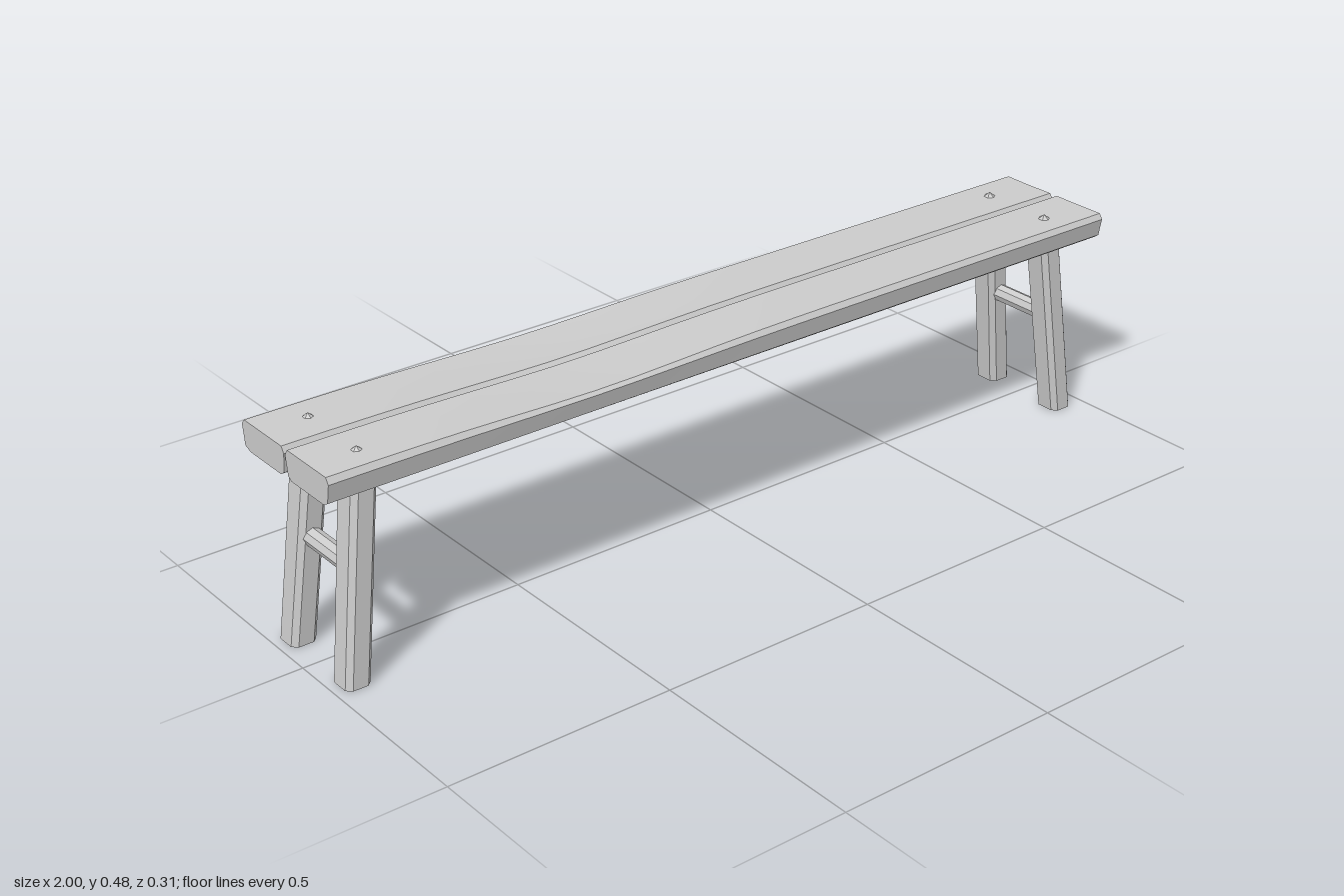
import * as THREE from 'three';
import { toCreasedNormals } from 'three/addons/utils/BufferGeometryUtils.js';

const material = new THREE.MeshStandardMaterial({ color: 0xcccccc });

// Skin a row of equal-length rings of [x, y, z] points and cap both ends.
function loft(rings) {
  const n = rings[0].length, index = [], last = (rings.length - 1) * n;
  for (let s = 0; s < rings.length - 1; s++) {
    for (let i = 0; i < n; i++) {
      const a = s * n + i, b = s * n + (i + 1) % n, c = b + n, d = a + n;
      index.push(a, d, c, a, c, b);
    }
  }
  for (let i = 1; i < n - 1; i++) {
    index.push(0, i, i + 1, last, last + i + 1, last + i);
  }
  const g = new THREE.BufferGeometry();
  g.setAttribute('position', new THREE.Float32BufferAttribute(rings.flat(2), 3));
  g.setIndex(index);
  return toCreasedNormals(g, 0.45);
}

function add(parent, name, geometry) {
  const mesh = new THREE.Mesh(geometry, material);
  mesh.name = name;
  parent.add(mesh);
  return mesh;
}

// Chamfered plank section as [z, y]; the last value is how far wear lowers the point.
const frontProfile = [
  [0.018, 0.412, 0], [0.132, 0.412, 0], [0.143, 0.42, 0], [0.151, 0.461, 0.4],
  [0.143, 0.474, 0.9], [0.075, 0.474, 1], [0.01, 0.474, 0.7], [0.001, 0.461, 0.3], [0.007, 0.419, 0],
];
const backProfile = [
  [-0.132, 0.412, 0], [-0.02, 0.412, 0], [-0.009, 0.419, 0], [-0.003, 0.461, 0.3],
  [-0.011, 0.474, 0.7], [-0.08, 0.474, 1], [-0.145, 0.474, 0.6], [-0.154, 0.463, 0.2], [-0.148, 0.419, 0],
];

function plank(profile) {
  const rings = [];
  for (let s = 0; s <= 20; s++) {
    const x = -1 + s * 0.1;
    // hollow worn into the seat left of the middle, levelling out to the right
    const wear = 0.012 * Math.exp(-(((x + 0.38) / 0.27) ** 2)) + 0.002 * THREE.MathUtils.smoothstep(x, -0.8, 0);
    const wide = 0.003 * THREE.MathUtils.smoothstep(-x, -0.4, 1);
    rings.push(profile.map(([z, y, w]) =>
      [x, y - wear * w, z + (Math.abs(z) > 0.14 ? Math.sign(z) * wide : 0)]));
  }
  return loft(rings);
}

// Rectangular ring with chamfered corners lying in a level plane.
function legRing(cx, y, cz, hx, hz, c) {
  return [
    [hx, -hz + c], [hx, hz - c], [hx - c, hz], [-hx + c, hz],
    [-hx, hz - c], [-hx, -hz + c], [-hx + c, -hz], [hx - c, -hz],
  ].map(([x, z]) => [cx + x, y, cz + z]);
}

export function createModel() {
  const bench = new THREE.Group();
  bench.name = 'bench';

  add(bench, 'frontPlank', plank(frontProfile));
  add(bench, 'backPlank', plank(backProfile));

  // Splayed legs, their pegs and the rung at each end
  for (const [side, footX, topX] of [['right', -0.951, -0.899], ['left', 0.937, 0.881]]) {
    const frame = new THREE.Group();
    frame.name = side + 'LegFrame';
    bench.add(frame);

    for (const [end, sz] of [['Front', 1], ['Back', -1]]) {
      add(frame, side + end + 'Leg', loft([
        legRing(footX, 0, sz * 0.1, 0.028, 0.031, 0.011),
        legRing(topX, 0.43, sz * 0.084, 0.028, 0.033, 0.011),
      ]));
      // small pointed peg head showing through the seat
      const peg = add(frame, side + end + 'Peg',
        toCreasedNormals(new THREE.ConeGeometry(0.013, 0.01, 6), 0.1));
      peg.position.set(topX, 0.477, sz * 0.086);
    }

    const rung = add(frame, side + 'Rung',
      toCreasedNormals(new THREE.CylinderGeometry(0.02, 0.02, 0.15, 8), 0.3));
    rung.rotation.x = Math.PI / 2;
    rung.position.set(THREE.MathUtils.lerp(footX, topX, 0.54), 0.235, 0);
  }
  return bench;
}
